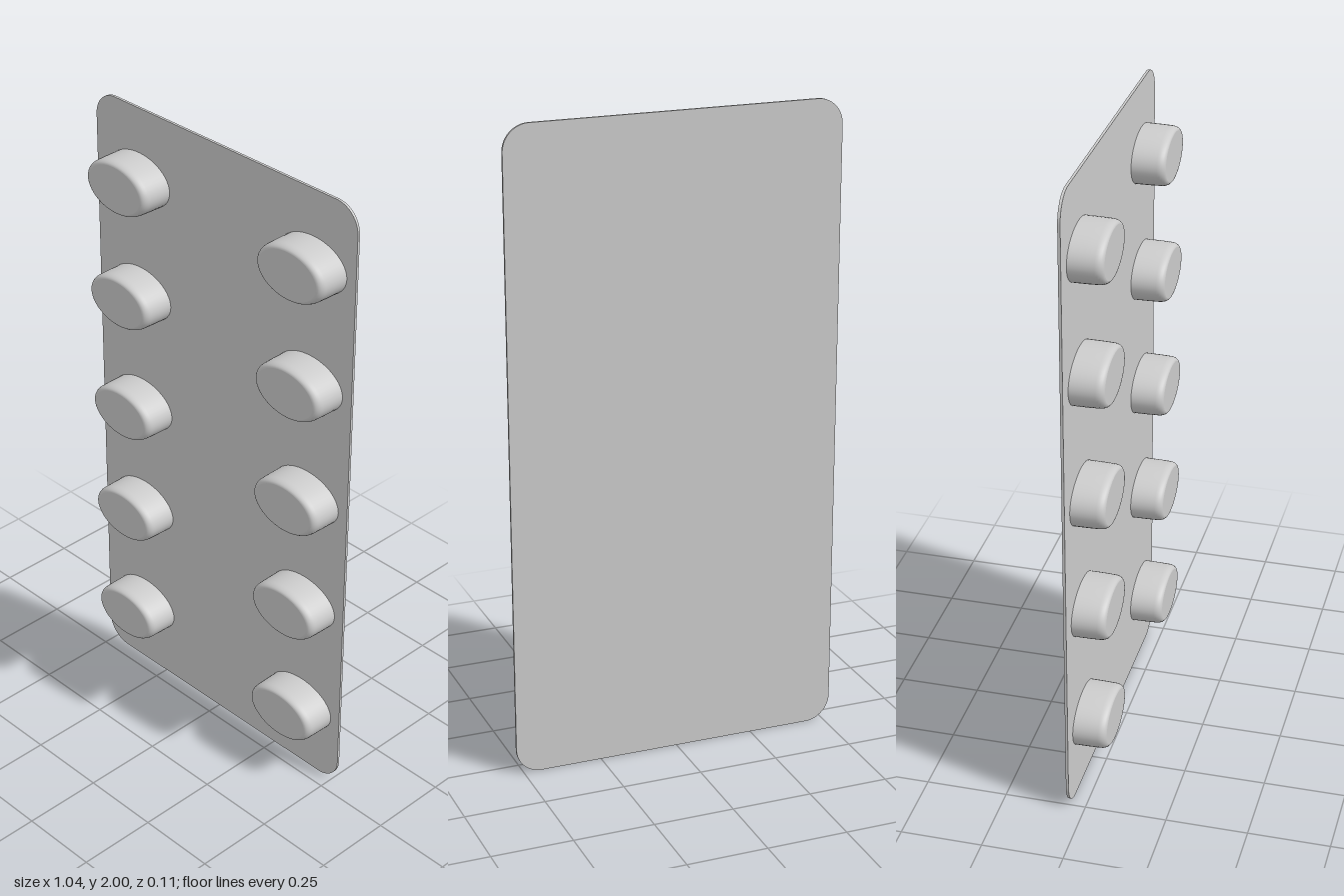
import * as THREE from 'three';

const material = new THREE.MeshStandardMaterial({ color: 0xcccccc });
const BACK = -0.054, PLATE = 0.008, FRONT = 0.054;
const RX = 0.128, RY = 0.084; // pocket half sizes
const SEGMENTS = 48;

// Thin rounded card standing upright
function createSheet() {
  const w = 0.522, h = 2, r = 0.08;
  const s = new THREE.Shape();
  s.moveTo(-w + r, 0);
  s.lineTo(w - r, 0);
  s.absarc(w - r, r, r, -Math.PI / 2, 0);
  s.lineTo(w, h - r);
  s.absarc(w - r, h - r, r, 0, Math.PI / 2);
  s.lineTo(-w + r, h);
  s.absarc(-w + r, h - r, r, Math.PI / 2, Math.PI);
  s.lineTo(-w, r);
  s.absarc(-w + r, r, r, Math.PI, Math.PI * 1.5);
  const geo = new THREE.ExtrudeGeometry(s, { depth: PLATE, bevelEnabled: false, curveSegments: 12 });
  geo.translate(0, 0, BACK);
  const sheet = new THREE.Mesh(geo, material);
  sheet.name = 'backingSheet';
  return sheet;
}

// Oval wall with a rounded rim, as a unit-radius profile stretched to an ellipse
function createWallGeometry() {
  const rimR = 0.14, rimZ = 0.024;
  const profile = [new THREE.Vector2(1, BACK + PLATE / 2), new THREE.Vector2(0.995, 0)];
  for (let i = 0; i <= 6; i++) {
    const a = (i / 6) * Math.PI / 2;
    profile.push(new THREE.Vector2(0.985 - rimR + rimR * Math.cos(a), FRONT - rimZ + rimZ * Math.sin(a)));
  }
  const geo = new THREE.LatheGeometry(profile, SEGMENTS);
  geo.rotateX(Math.PI / 2);
  geo.scale(RX, RY, 1);
  return geo;
}

export function createModel() {
  const model = new THREE.Group();
  model.name = 'blisterPack';
  model.add(createSheet());

  const wallGeo = createWallGeometry();
  const capGeo = new THREE.CircleGeometry(0.845, SEGMENTS);
  capGeo.scale(RX, RY, 1);
  capGeo.translate(0, 0, FRONT);

  // Two columns of five pockets
  for (const x of [-0.34, 0.36]) {
    for (const y of [0.235, 0.625, 1.004, 1.395, 1.774]) {
      const pocket = new THREE.Group();
      pocket.name = 'pocket';
      const wall = new THREE.Mesh(wallGeo, material);
      wall.name = 'pocketWall';
      const cap = new THREE.Mesh(capGeo, material);
      cap.name = 'pocketFace';
      pocket.add(wall, cap);
      pocket.position.set(x, y, 0);
      model.add(pocket);
    }
  }
  return model;
}
